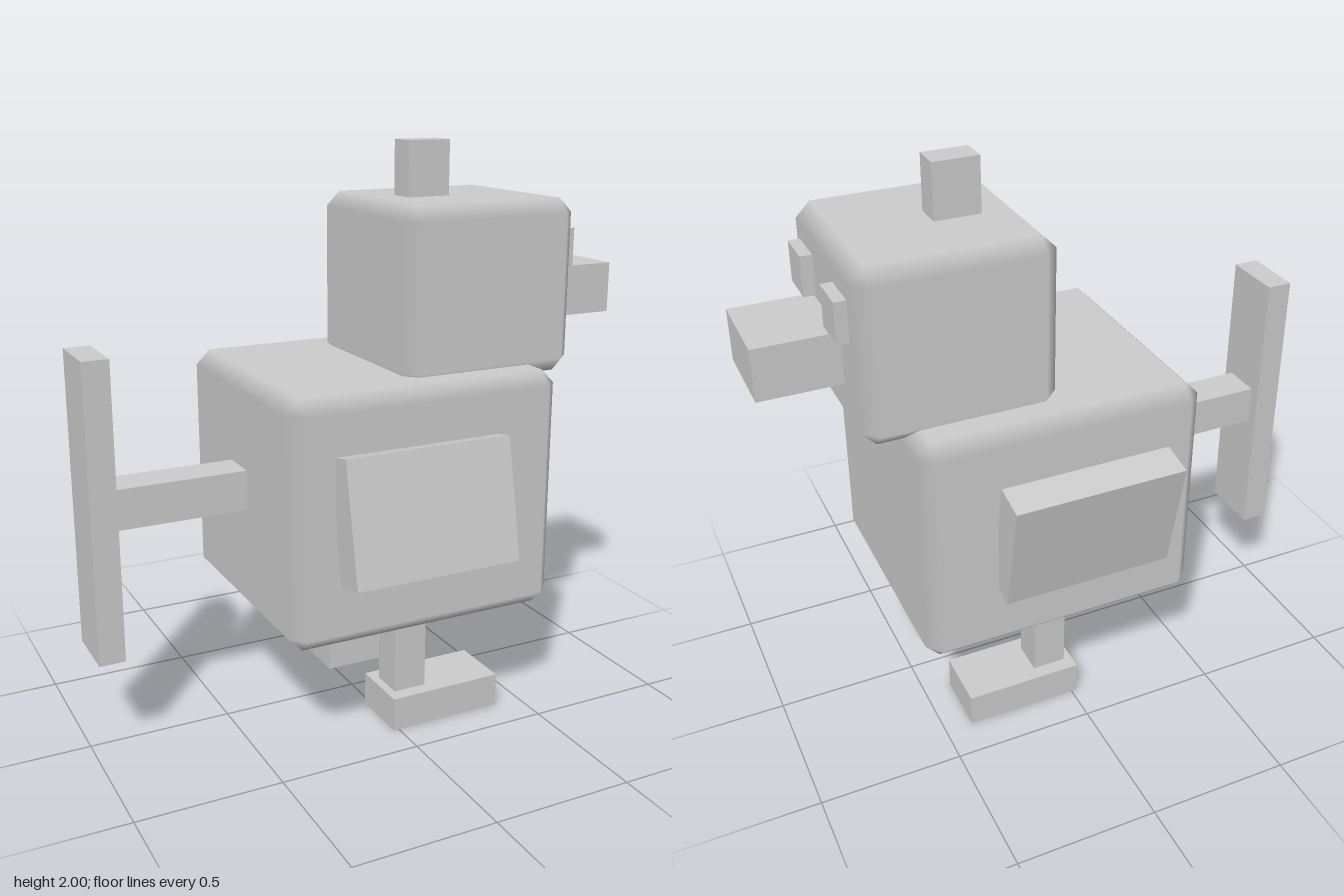
import * as THREE from 'three';
import { ConvexGeometry } from 'three/addons/geometries/ConvexGeometry.js';

const grey = new THREE.MeshStandardMaterial({ color: 0xcccccc });
grey.name = 'grey';

// Box with chamfered edges, flat sides and smooth shading across the chamfers
function chamferedBox(w, h, d, c) {
  const half = [w / 2, h / 2, d / 2];
  const points = [];
  for (const sx of [-1, 1]) for (const sy of [-1, 1]) for (const sz of [-1, 1]) {
    const sign = [sx, sy, sz];
    for (let axis = 0; axis < 3; axis++) {
      points.push(new THREE.Vector3(...sign.map((s, i) => s * (half[i] - (i === axis ? 0 : c)))));
    }
  }
  const geometry = new ConvexGeometry(points);
  const pos = geometry.attributes.position, normal = geometry.attributes.normal;
  for (let i = 0; i < pos.count; i++) {
    const p = [pos.getX(i), pos.getY(i), pos.getZ(i)];
    normal.setXYZ(i, ...p.map((v, a) => (Math.abs(v) > half[a] - c / 2 ? Math.sign(v) : 0)));
  }
  return geometry;
}

export function createModel() {
  const model = new THREE.Group();
  model.name = 'blockBird';

  // Adds a box spanning the given ranges, chamfered if asked
  function block(name, [x0, x1], [y0, y1], [z0, z1], chamfer = 0) {
    const size = [x1 - x0, y1 - y0, z1 - z0];
    const geometry = chamfer ? chamferedBox(...size, chamfer) : new THREE.BoxGeometry(...size);
    const mesh = new THREE.Mesh(geometry, grey);
    mesh.name = name;
    mesh.position.set((x0 + x1) / 2, (y0 + y1) / 2, (z0 + z1) / 2);
    model.add(mesh);
    return mesh;
  }

  // Body and head
  block('body', [-0.43, 0.57], [0.4, 1.25], [-0.45, 0.45], 0.05);
  block('head', [0.04, 0.7], [1.21, 1.81], [-0.33, 0.33], 0.05);
  block('crest', [0.19, 0.35], [1.8, 2], [-0.05, 0.05]);
  block('beak', [0.69, 0.98], [1.37, 1.55], [-0.15, 0.15]);

  // Tail
  block('tailRod', [-0.89, -0.42], [0.79, 0.93], [-0.07, 0.07]);
  block('tailPlate', [-0.98, -0.89], [0.345, 1.37], [-0.11, 0.11]);

  // Paired parts
  for (const side of [-1, 1]) {
    const span = (a, b) => (side > 0 ? [a, b] : [-b, -a]);
    const prefix = side > 0 ? 'near' : 'far';
    block(prefix + 'Eye', [0.69, 0.74], [1.56, 1.7], span(0.11, 0.25));
    block(prefix + 'Leg', [0.01, 0.13], [0.12, 0.395], span(0.2, 0.32));
    block(prefix + 'Foot', [-0.02, 0.4], [0, 0.12], span(0.15, 0.37));
    // Both wings lean the same way
    const wing = block(prefix + 'Wing', [-0.28, 0.32], [0.647, 1.067], span(0.443, 0.563));
    wing.rotation.x = -0.2;
  }
  return model;
}
